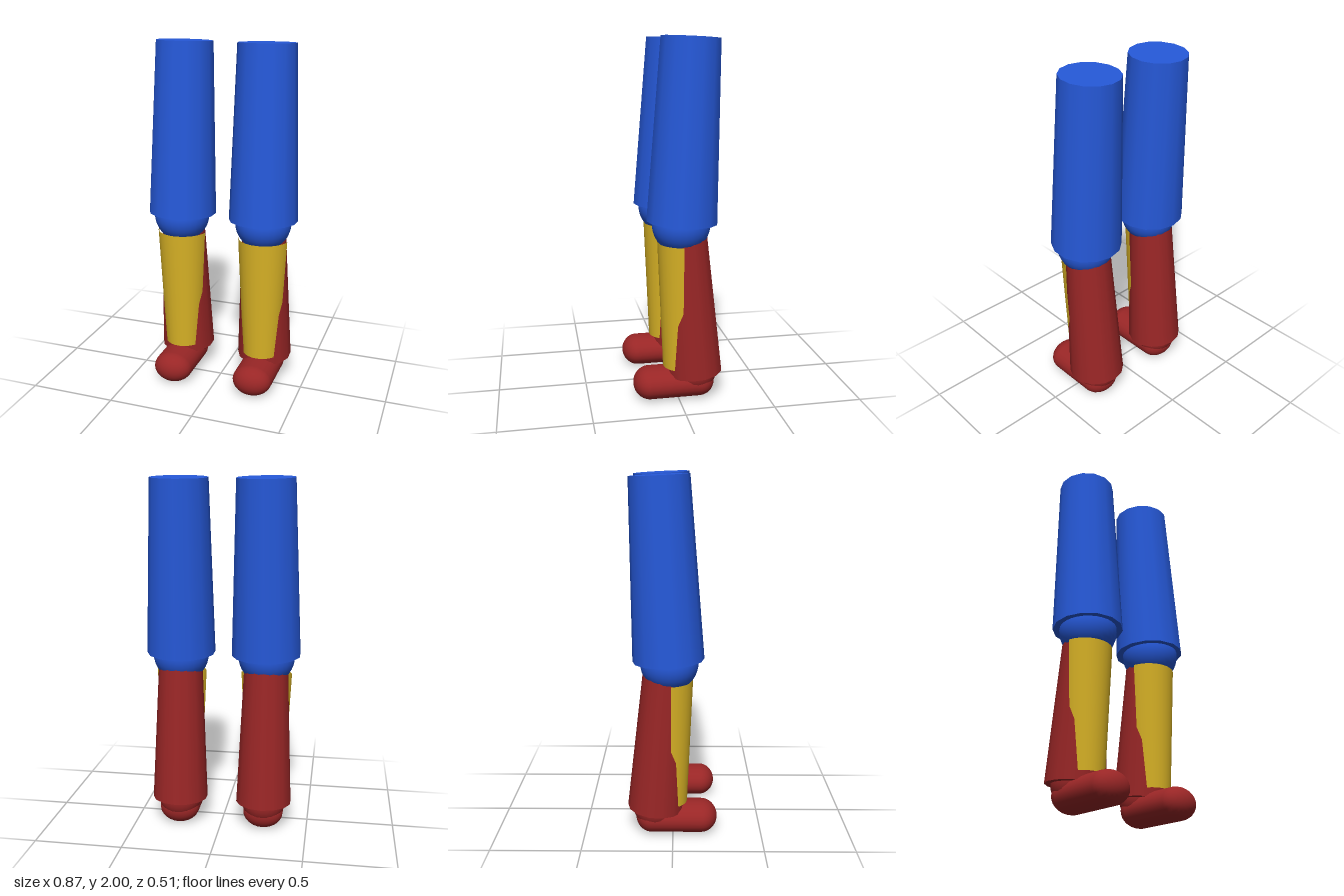
import * as THREE from 'three';

const material = (name, color, side = THREE.FrontSide) => {
  const m = new THREE.MeshStandardMaterial({ color, side });
  m.name = name;
  return m;
};

export function createModel() {
  const blue = material('blue', 0x2659d9);
  const red = material('red', 0x992626);
  const yellow = material('yellow', 0xd9b326, THREE.DoubleSide);
  const up = new THREE.Vector3(0, 1, 0);

  const part = (name, geometry, mat, x, y, z) => {
    const mesh = new THREE.Mesh(geometry, mat);
    mesh.name = name;
    mesh.position.set(x, y, z);
    return mesh;
  };

  // tapered limb running between the centres of its two ends
  const limb = (name, mat, top, rTop, bottom, rBottom, sides = 14, ...arc) => {
    const a = new THREE.Vector3(...top), b = new THREE.Vector3(...bottom);
    const axis = a.clone().sub(b);
    const geometry = new THREE.CylinderGeometry(rTop, rBottom, axis.length(), sides, 1, ...arc);
    const mid = a.add(b).multiplyScalar(0.5);
    const mesh = part(name, geometry, mat, mid.x, mid.y, mid.z);
    mesh.quaternion.setFromUnitVectors(up, axis.normalize());
    return mesh;
  };

  const model = new THREE.Group();
  model.name = 'legs';

  for (const s of [-1, 1]) {
    const leg = new THREE.Group();
    leg.name = s > 0 ? 'leftLeg' : 'rightLeg';
    const x = 0.247 * s;

    leg.add(limb('thigh', blue, [0.237 * s, 1.992, -0.072], 0.161, [0.245 * s, 1.013, -0.025], 0.196));
    leg.add(part('knee', new THREE.SphereGeometry(0.16, 28, 20), blue, x, 1.0, -0.02));
    leg.add(limb('shin', red, [x, 0.927, -0.04], 0.126, [x, 0.147, -0.096], 0.16));

    // open plate wrapped around the front of the shin
    const half = THREE.MathUtils.degToRad(79);
    leg.add(limb('shinGuard', yellow, [x, 0.9, -0.038], 0.148, [x, 0.185, -0.032], 0.112,
      12, true, -half, 2 * half));

    leg.add(part('ankle', new THREE.SphereGeometry(0.125, 24, 18), red, x, 0.15, -0.1));

    // foot: capsule lying front to back, widened sideways
    const sole = new THREE.CapsuleGeometry(0.09, 0.28, 10, 24);
    sole.rotateX(Math.PI / 2).scale(1.28, 1, 1);
    leg.add(part('foot', sole, red, x, 0.09, 0.02));

    model.add(leg);
  }
  return model;
}
